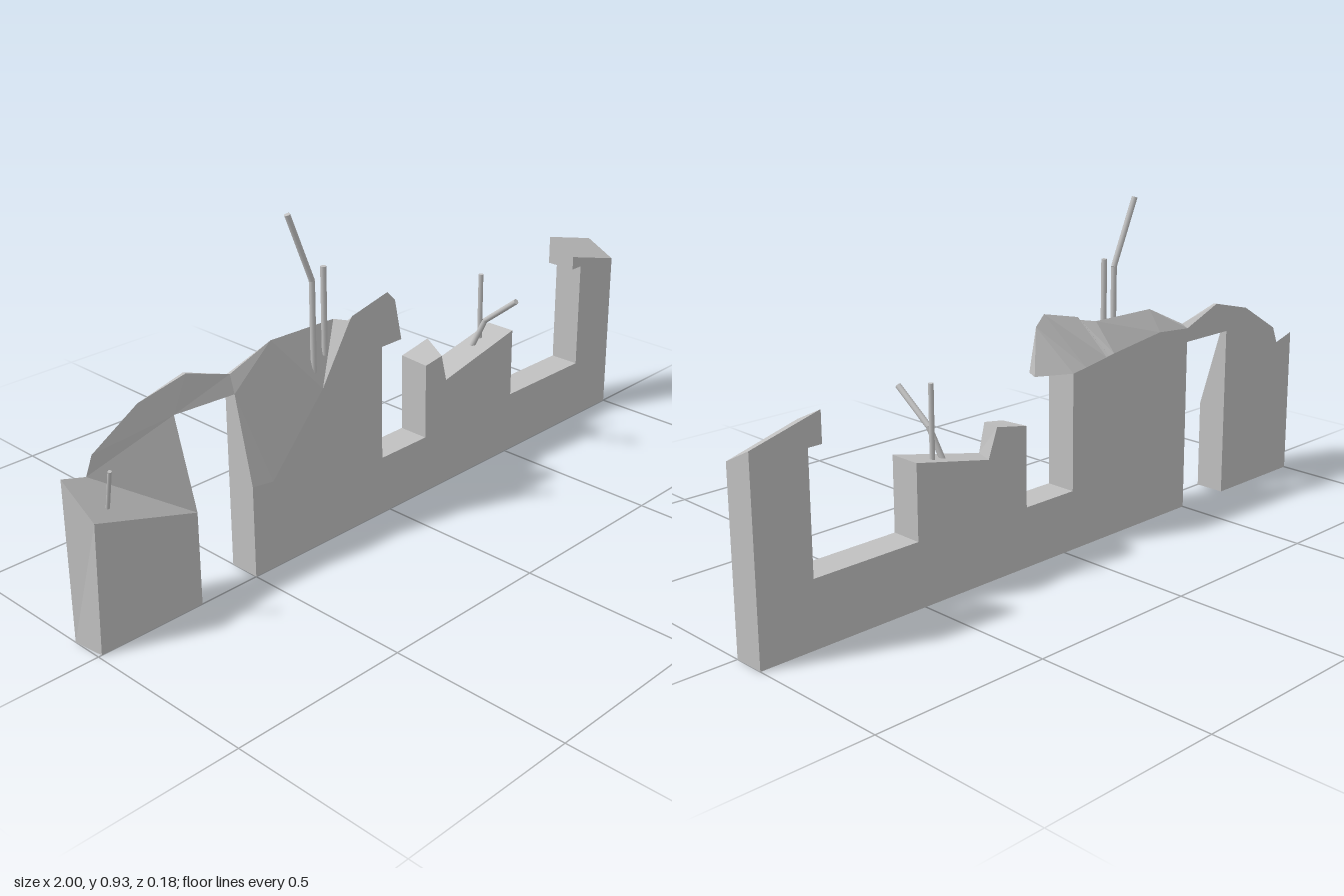
import * as THREE from 'three';

const concrete = new THREE.MeshStandardMaterial({ color: 0xc0c0c0, side: THREE.DoubleSide });
concrete.name = 'concrete grey';
const BACK = -0.09;

// Wall outline: front corner [x, y, z], then the matching back corner [x, y] where it differs
const outline = [
  // right post with its overhanging lip
  [[1, 0, 0]], [[1, 0.485, 0], [1, 0.53]], [[0.8, 0.54, 0], [0.8, 0.583]],
  [[0.8, 0.5, 0]], [[0.84, 0.5, 0]], [[0.84, 0.18, 0]],
  // broken sill between the two windows
  [[0.52, 0.18, 0]], [[0.52, 0.385, 0]], [[0.23, 0.32, 0], [0.28, 0.335]],
  [[0.21, 0.4, 0], [0.25, 0.415]], [[0.145, 0.39, 0], [0.145, 0.395]], [[0.145, 0.17, 0]],
  [[-0.03, 0.17, 0]], [[-0.03, 0.5, 0]],
  // jagged overhang and peak
  [[0.045, 0.5, 0], [-0.03, 0.5]], [[0.065, 0.5, -0.04], [-0.03, 0.5]],
  [[0.02, 0.62, 0], [-0.03, 0.5]], [[-0.01, 0.65, 0], [-0.08, 0.507]],
  [[-0.14, 0.62, 0], [-0.16, 0.52]], [[-0.15, 0.61, 0], [-0.17, 0.522]],
  [[-0.17, 0.61, -0.04], [-0.19, 0.525]], [[-0.38, 0.61, -0.05], [-0.38, 0.55]],
  // thin arch above the doorway
  [[-0.5, 0.55, -0.07], [-0.5, 0.54]], [[-0.63, 0.59, -0.08], [-0.63, 0.59]],
  [[-0.77, 0.555, BACK]], [[-0.91, 0.47, BACK]], [[-0.93, 0.42, BACK]], [[-1, 0.44, BACK]],
  // left pier and doorway
  [[-0.98, 0.35, 0], [-1, 0.44]], [[-0.99, 0, 0], [-1, 0]], [[-0.68, 0, 0]],
  [[-0.68, 0.26, 0]], [[-0.68, 0.5, -0.07]], [[-0.5, 0.5, -0.055]], [[-0.5, 0.26, 0]], [[-0.5, 0, 0]],
];
const front = outline.map(([f]) => f);
const back = outline.map(([f, b = f]) => [b[0], b[1], BACK]);
const crackLow = [-0.43, 0.25, 0];
const crackMid = [-0.25, 0.45, 0];

// Collect flat-sided polygons into one geometry
function facetGeometry(polygons) {
  const pos = [];
  for (const tri of polygons) pos.push(...tri.flat());
  const geo = new THREE.BufferGeometry();
  geo.setAttribute('position', new THREE.Float32BufferAttribute(pos, 3));
  geo.computeVertexNormals();
  return geo;
}

// Triangulate a face as seen along z
function cap(points, flip = false) {
  const flat = points.map(([x, y]) => new THREE.Vector2(x, y));
  return THREE.ShapeUtils.triangulateShape(flat, [])
    .map((t) => (flip ? [...t].reverse() : t).map((i) => points[i]));
}

function addMesh(group, name, geometry) {
  const mesh = new THREE.Mesh(geometry, concrete);
  mesh.name = name;
  group.add(mesh);
}

// Straight pieces of bar joined by a bend
function addRebar(group, name, points, radius = 0.008) {
  const path = new THREE.CurvePath();
  const v = points.map((p) => new THREE.Vector3(...p));
  for (let i = 1; i < v.length; i++) path.add(new THREE.LineCurve3(v[i - 1], v[i]));
  const bar = new THREE.Group();
  bar.name = name;
  path.curves.forEach((c, i) => {
    addMesh(bar, 'barSegment' + (i + 1), new THREE.TubeGeometry(c, 1, radius, 10));
  });
  const end = new THREE.CircleGeometry(radius, 10);
  const last = v.length - 1;
  end.lookAt(v[last].clone().sub(v[last - 1]));
  end.translate(...v[last].toArray());
  addMesh(bar, 'barEnd', end);
  group.add(bar);
}

export function createModel() {
  const model = new THREE.Group();
  model.name = 'ruinedWall';

  // Flat front faces on both sides of the doorway
  const mainFace = [...front.slice(0, 15), ...front.slice(16, 20), crackMid, crackLow, front[34], front[35]];
  addMesh(model, 'frontFace', facetGeometry([
    ...cap(mainFace), ...cap([29, 30, 31, 28].map((i) => front[i])),
  ]));

  // Broken facets sloping back from the front face
  const facets = [
    [14, 15, 16], [28, 31, 26], [28, 26, 27], [31, 32, 26], [32, 25, 26],
    [32, 24, 25], [32, 23, 24], [32, 22, 23], [32, 33, 22], [33, 21, 22],
  ].map((t) => t.map((i) => front[i]));
  facets.push(
    [front[34], crackLow, front[33]],
    [crackLow, crackMid, front[33]],
    [crackMid, front[21], front[33]],
    [crackMid, front[20], front[21]],
    [crackMid, front[19], front[20]],
  );
  addMesh(model, 'brokenFacets', facetGeometry(facets));

  addMesh(model, 'backFace', facetGeometry(cap(
    back.filter((p, i) => i === 0 || p[0] !== back[i - 1][0] || p[1] !== back[i - 1][1]), true)));

  // Rim joining front and back, left open underneath
  const rim = [];
  for (let i = 0; i < front.length; i++) {
    const j = (i + 1) % front.length;
    if (front[i][1] === 0 && front[j][1] === 0) continue;
    rim.push([front[i], back[i], back[j]], [front[i], back[j], front[j]]);
  }
  const area = ([a, b, c]) => new THREE.Triangle(
    new THREE.Vector3(...a), new THREE.Vector3(...b), new THREE.Vector3(...c)).getArea();
  addMesh(model, 'wallEdges', facetGeometry(rim.filter((t) => area(t) > 1e-7)));

  // Exposed reinforcement bars
  addRebar(model, 'tallBentBar', [[-0.262, 0.45, -0.02], [-0.262, 0.745, -0.02], [-0.327, 0.93, -0.034]]);
  addRebar(model, 'tallStraightBar', [[-0.22, 0.53, -0.022], [-0.22, 0.772, -0.022]]);
  addRebar(model, 'sillStraightBar', [[0.443, 0.33, -0.06], [0.443, 0.565, -0.06]], 0.007);
  addRebar(model, 'sillBentBar', [[0.4, 0.34, -0.06], [0.418, 0.44, -0.02], [0.424, 0.525, 0.087]]);
  addRebar(model, 'pierBar', [[-0.922, 0.36, -0.025], [-0.932, 0.47, 0.008]], 0.005);
  return model;
}
